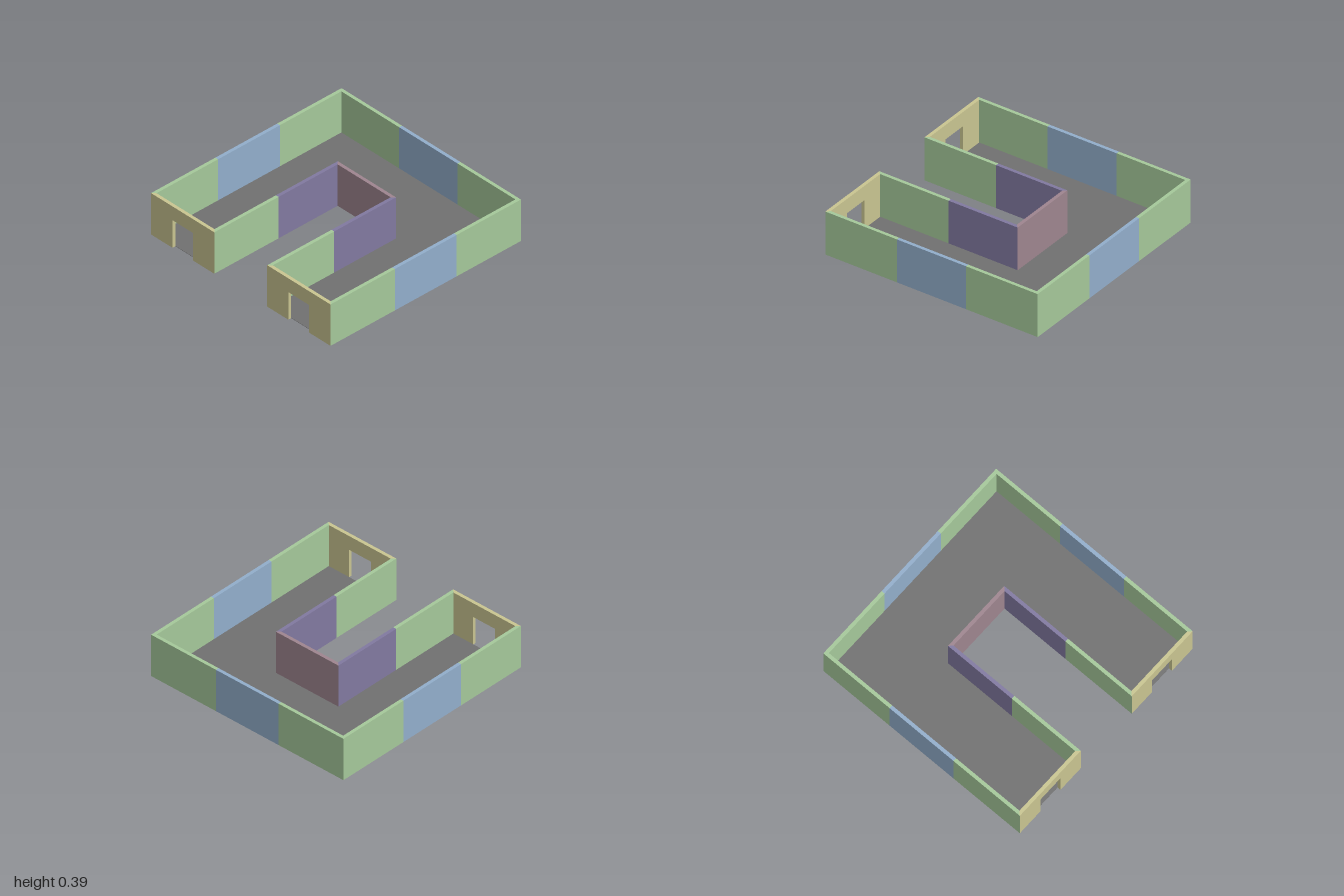
import * as THREE from 'three';

const H = 0.39, T = 0.03;          // wall height and thickness
const C = 0.295, S = 0.325;        // courtyard face and section boundary
const COLORS = {
  green: 0xa5c89a, blue: 0x92aecb, sand: 0xc9c591,
  mauve: 0x9e858f, violet: 0x8179a0, floor: 0x707070,
};
const materials = {};
for (const [key, color] of Object.entries(COLORS)) {
  materials[key] = new THREE.MeshStandardMaterial({ color, flatShading: true });
}

// Prism standing on y = 0 from a plan outline of [x, z] corners
function prism(name, color, plan, height) {
  const shape = new THREE.Shape(plan.map(([x, z]) => new THREE.Vector2(x, -z)));
  const geo = new THREE.ExtrudeGeometry(shape, { depth: height, bevelEnabled: false });
  geo.rotateX(-Math.PI / 2);
  const mesh = new THREE.Mesh(geo, materials[color]);
  mesh.name = name;
  return mesh;
}

// Front wall with a doorway and mitred ends
function doorWall(side) {
  const [x0, x1] = side > 0 ? [C, 1] : [-1, -C];
  const [d0, d1] = side > 0 ? [0.53, 0.76] : [-0.76, -0.53];
  const top = 0.26;
  const shape = new THREE.Shape([
    [x0, 0], [d0, 0], [d0, top], [d1, top], [d1, 0], [x1, 0], [x1, H], [x0, H],
  ].map(([x, y]) => new THREE.Vector2(x, y)));
  const geo = new THREE.ExtrudeGeometry(shape, { depth: T, bevelEnabled: false });
  const pos = geo.attributes.position;
  for (let i = 0; i < pos.count; i++) {
    if (pos.getZ(i) > T / 2) continue;
    const x = pos.getX(i);
    if (Math.abs(x - x0) < 1e-4) pos.setX(i, x0 + T);
    if (Math.abs(x - x1) < 1e-4) pos.setX(i, x1 - T);
  }
  geo.translate(0, 0, 1 - T);
  geo.computeVertexNormals();
  const mesh = new THREE.Mesh(geo, materials.sand);
  mesh.name = side > 0 ? 'leftDoorWall' : 'rightDoorWall';
  return mesh;
}

export function createModel() {
  const group = new THREE.Group();
  group.name = 'courtyardBuilding';
  const i = 1 - T;

  // U-shaped floor inside the walls
  group.add(prism('floor', 'floor', [
    [-i, -i], [i, -i], [i, i], [S, i], [S, -S], [-S, -S], [-S, i], [-i, i],
  ], 0.003));

  // Back wall
  group.add(prism('backWallMiddle', 'blue', [[-S, -1], [S, -1], [S, -i], [-S, -i]], H));

  for (const s of [1, -1]) {
    const side = s > 0 ? 'left' : 'right';
    const add = (name, color, plan) =>
      group.add(prism(side + name, color, plan.map(([x, z]) => [s * x, z]), H));

    add('BackWallEnd', 'green', [[S, -1], [1, -1], [i, -i], [S, -i]]);

    // Outer side wall in three sections
    add('OuterWallBack', 'green', [[1, -1], [1, -S], [i, -S], [i, -i]]);
    add('OuterWallMiddle', 'blue', [[1, -S], [1, S], [i, S], [i, -S]]);
    add('OuterWallFront', 'green', [[1, S], [1, 1], [i, i], [i, S]]);

    // Courtyard side wall in two sections
    add('CourtWallBack', 'violet', [[C, -C], [C, S], [S, S], [S, -S]]);
    add('CourtWallFront', 'green', [[C, S], [C, 1], [S, i], [S, S]]);

    group.add(doorWall(s));
  }

  // Wall at the back of the courtyard
  group.add(prism('courtEndWall', 'mauve', [[-S, -S], [S, -S], [C, -C], [-C, -C]], H));
  return group;
}
